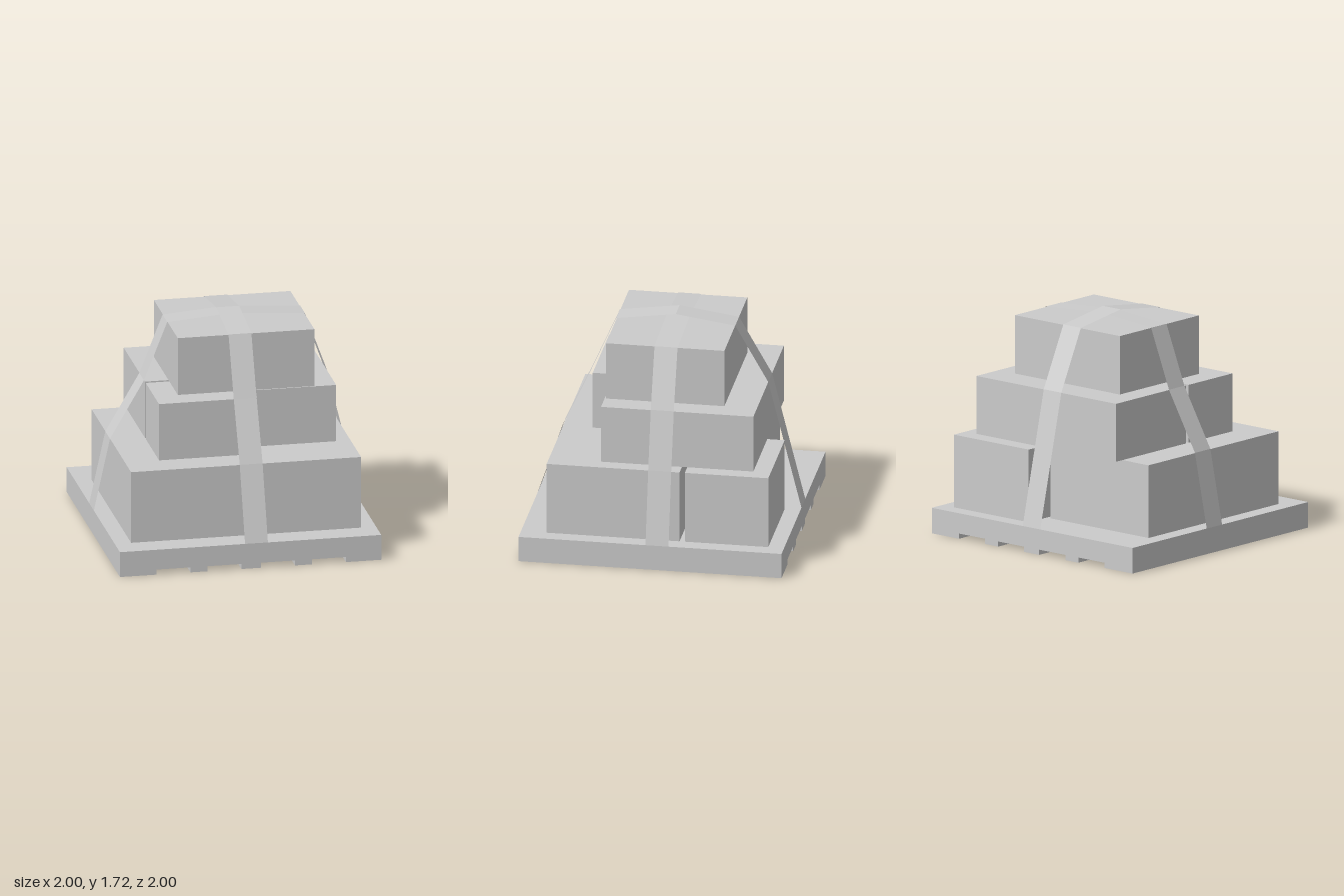
import * as THREE from 'three';

const grey = new THREE.MeshStandardMaterial({ color: 0xcccccc, flatShading: true });
const strapMat = new THREE.MeshStandardMaterial({ color: 0xcccccc, flatShading: true, side: THREE.DoubleSide });

// Box given by its extents on each axis
function crate(name, [x0, x1], [y0, y1], [z0, z1]) {
  const mesh = new THREE.Mesh(new THREE.BoxGeometry(x1 - x0, y1 - y0, z1 - z0), grey);
  mesh.position.set((x0 + x1) / 2, (y0 + y1) / 2, (z0 + z1) / 2);
  mesh.name = name;
  return mesh;
}

// Slab with runner grooves cut through its underside along z
function pallet() {
  const shape = new THREE.Shape();
  shape.moveTo(-1, 0);
  for (const [a, b] of [[-0.72, -0.46], [-0.33, -0.07], [0.08, 0.34], [0.47, 0.73]]) {
    shape.lineTo(a, 0);
    shape.lineTo(a, 0.04);
    shape.lineTo(b, 0.04);
    shape.lineTo(b, 0);
  }
  shape.lineTo(1, 0);
  shape.lineTo(1, 0.197);
  shape.lineTo(-1, 0.197);
  const geo = new THREE.ExtrudeGeometry(shape, { depth: 2, bevelEnabled: false });
  geo.translate(0, 0, -1);
  const mesh = new THREE.Mesh(geo, grey);
  mesh.name = 'pallet';
  return mesh;
}

// Flat ribbon; each point is [distance along, height, sideways centre]
function strap(name, points, alongX) {
  const half = 0.0875, pos = [], index = [];
  points.forEach(([d, y, c], i) => {
    for (const s of [c - half, c + half]) pos.push(...(alongX ? [d, y, s] : [s, y, d]));
    if (i === 0) return;
    const a = 2 * i - 2;
    if (alongX) index.push(a, a + 1, a + 2, a + 1, a + 3, a + 2);
    else index.push(a, a + 2, a + 1, a + 1, a + 2, a + 3);
  });
  const geo = new THREE.BufferGeometry();
  geo.setAttribute('position', new THREE.Float32BufferAttribute(pos, 3));
  geo.setIndex(index);
  geo.computeVertexNormals();
  const mesh = new THREE.Mesh(geo, strapMat);
  mesh.name = name;
  return mesh;
}

export function createModel() {
  const group = new THREE.Group();
  group.name = 'loadedPallet';
  group.add(pallet());

  // Three tiers of crates
  const low = [0.197, 0.757], mid = [0.757, 1.203], high = [1.203, 1.653];
  group.add(
    crate('lowerLongCrate', [-0.875, 0.1], low, [-0.675, 0.805]),
    crate('lowerFrontCrate', [0.1, 0.885], low, [-0.205, 0.805]),
    crate('lowerBackCrate', [0.14, 0.885], low, [-0.88, -0.245]),
    crate('middleFrontCrate', [-0.615, 0.137], mid, [0.08, 0.58]),
    crate('middleBackCrate', [-0.615, 0.1], mid, [-0.748, 0.05]),
    crate('middleSideCrate', [0.1, 0.775], mid, [-0.748, 0.41]),
    crate('topCrate', [-0.435, 0.61], high, [-0.5, 0.4]),
  );

  // Two crossing straps drawn tight over the stack
  group.add(strap('frontToBackStrap', [
    [1, 0.197, 0.045], [0.81, 0.76, 0.043], [0.6, 1.21, 0.04], [0.403, 1.657, 0.04], [-0.05, 1.72, 0.038],
    [-0.502, 1.657, 0.038], [-0.75, 1.205, 0.016], [-0.86, 0.76, 0.012], [-1, 0.197, 0.007],
  ], false));
  group.add(strap('sideToSideStrap', [
    [-1, 0.197, -0.068], [-0.878, 0.76, -0.062], [-0.618, 1.206, -0.061], [-0.44, 1.656, -0.061],
    [0.06, 1.695, -0.061],
    [0.613, 1.656, -0.057], [0.778, 1.206, -0.056], [0.888, 0.76, -0.055], [1, 0.197, -0.053],
  ], true));
  return group;
}
